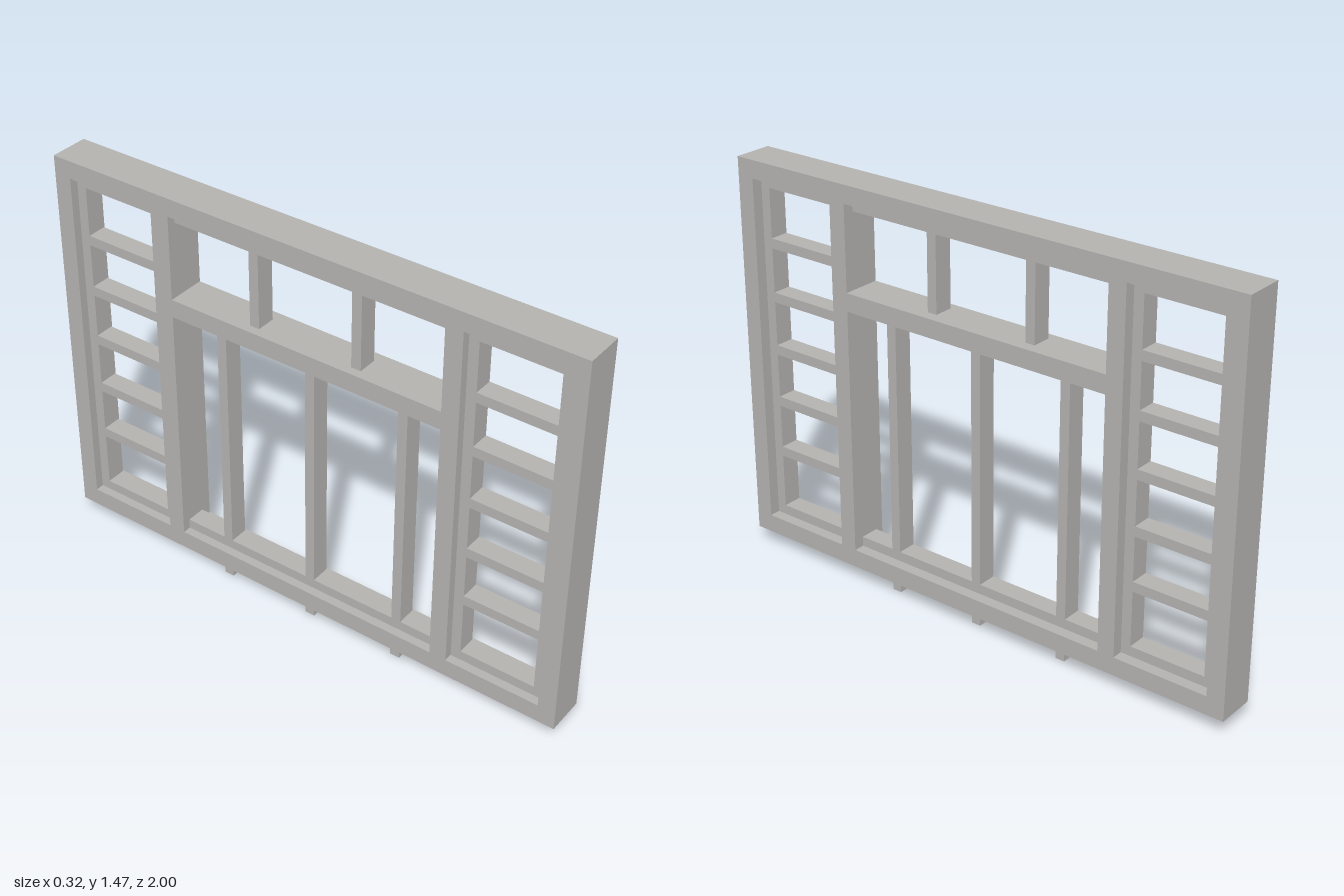
import * as THREE from 'three';

const material = new THREE.MeshStandardMaterial({ color: 0xb4b2af });
material.name = 'warm grey';

// Wall levels and inner depth
const BOTTOM = 0.058, TOP = 1.466, LOW = 0.125, HIGH = 1.401;
const TRANSOM = [1.027, 1.093];
const HALF = 0.9975, DEPTH = 0.143, INNER_DEPTH = 0.071, INNER_Z = 0.0045;
const RAIL = 0.036;

function rect(target, x0, x1, y0, y1) {
  target.moveTo(x0, y0);
  target.lineTo(x1, y0);
  target.lineTo(x1, y1);
  target.lineTo(x0, y1);
  target.closePath();
  return target;
}

// Flat slab with rectangular openings, centred in depth on z
function slab(name, outer, openings, depth, z) {
  const shape = rect(new THREE.Shape(), ...outer);
  for (const o of openings) shape.holes.push(rect(new THREE.Path(), ...o));
  const geometry = new THREE.ExtrudeGeometry(shape, { depth, bevelEnabled: false });
  geometry.translate(0, 0, z - depth / 2);
  const mesh = new THREE.Mesh(geometry, material);
  mesh.name = name;
  return mesh;
}

function bar(name, x0, x1, y0, y1) {
  const mesh = new THREE.Mesh(new THREE.BoxGeometry(x1 - x0, y1 - y0, INNER_DEPTH), material);
  mesh.position.set((x0 + x1) / 2, (y0 + y1) / 2, INNER_Z);
  mesh.name = name;
  return mesh;
}

export function createModel() {
  const model = new THREE.Group();
  model.name = 'windowWall';

  // Main frame: two side bays, a door bay and a transom bay
  const side = [0.584, 0.933], mid = 0.521;
  model.add(slab('mainFrame', [-HALF, HALF, BOTTOM, TOP], [
    [side[0], side[1], LOW, HIGH],
    [-side[1], -side[0], LOW, HIGH],
    [-mid, mid, LOW, TRANSOM[0]],
    [-mid, mid, TRANSOM[1], HIGH],
  ], DEPTH, 0));

  // Recessed side sashes with five glazing bars each
  const rungs = [0.38, 0.577, 0.774, 0.971, 1.168];
  const sills = [LOW + RAIL, ...rungs.map((y) => y + RAIL / 2)];
  const heads = [...rungs.map((y) => y - RAIL / 2), HIGH - RAIL];
  for (const s of [1, -1]) {
    const [x0, x1] = s > 0 ? side : [-side[1], -side[0]];
    const panes = sills.map((y, i) => [x0 + RAIL, x1 - RAIL, y, heads[i]]);
    model.add(slab(s > 0 ? 'frontSash' : 'rearSash', [x0, x1, LOW, HIGH], panes, INNER_DEPTH, INNER_Z));
  }

  // Recessed rails of the middle bays
  model.add(bar('headRail', -mid, mid, HIGH - RAIL, HIGH));
  model.add(bar('sillRail', -mid, mid, LOW, LOW + RAIL));

  // Short posts above the transom, long posts running through the sill to the ground
  for (const x of [0.188, -0.206])
    model.add(bar('upperPost', x - RAIL / 2, x + RAIL / 2, TRANSOM[1], HIGH - RAIL));
  for (const x of [0.365, 0.01, -0.344])
    model.add(bar('lowerPost', x - RAIL / 2, x + RAIL / 2, 0, TRANSOM[0]));

  // The wall runs front to back, turned by five degrees
  model.rotation.y = THREE.MathUtils.degToRad(-85);
  const root = new THREE.Group();
  root.name = 'model';
  root.add(model);
  return root;
}
